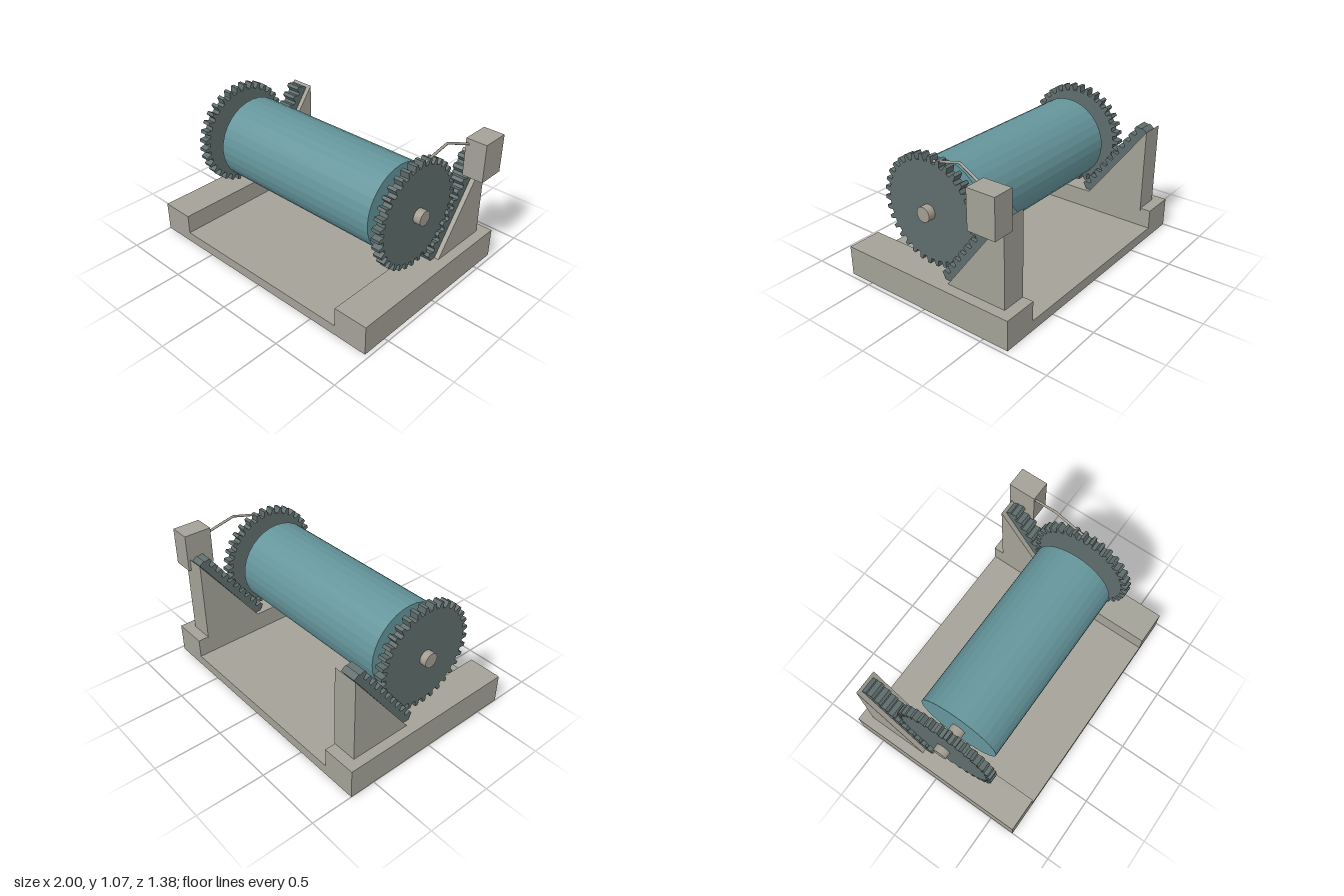
import * as THREE from 'three';

const mat = (name, color, opts = {}) => {
  const m = new THREE.MeshStandardMaterial({ color, ...opts });
  m.name = name;
  return m;
};

// Prism from a [z, y] outline, centred on x with the given width
function sidePrism(points, x, width) {
  const shape = new THREE.Shape(points.map(([z, y]) => new THREE.Vector2(z, y)));
  const geo = new THREE.ExtrudeGeometry(shape, { depth: width, bevelEnabled: false });
  return geo.translate(0, 0, -width / 2).rotateY(-Math.PI / 2).translate(x, 0, 0);
}

export function createModel() {
  const group = new THREE.Group();
  const stone = mat('stone grey', 0xa3a197);
  const teal = mat('drum teal', 0x64959b, { flatShading: true });
  const iron = mat('gear iron', 0x5f6d6c);
  const steel = mat('shaft steel', 0xa39d91);

  const add = (name, geo, material) => {
    const mesh = new THREE.Mesh(geo, material);
    mesh.name = name;
    group.add(mesh);
    return mesh;
  };

  // Base: channel section with a raised rail on each side
  const channel = new THREE.Shape([
    [-1, 0], [0.97, 0], [0.97, 0.22], [0.715, 0.22],
    [0.715, 0.075], [-0.75, 0.075], [-0.75, 0.22], [-1, 0.22],
  ].map(([x, y]) => new THREE.Vector2(x, y)));
  add('base', new THREE.ExtrudeGeometry(channel, { depth: 1.38, bevelEnabled: false })
    .translate(0, 0, -0.69), stone);

  // Drum and its axle
  const axisY = 0.652, axisZ = 0.042;
  const roller = (name, radius, x0, x1, material, sides) =>
    add(name, new THREE.CylinderGeometry(radius, radius, x1 - x0, sides)
      .rotateZ(Math.PI / 2).translate((x0 + x1) / 2, axisY, axisZ), material);
  roller('drum', 0.309, -0.705, 0.675, teal, 32);
  roller('axle', 0.053, -0.92, 0.89, steel, 32);

  // Gear outline: tapered teeth around the axle
  const teeth = 34, gearOutline = [];
  for (let i = 0; i < teeth; i++) {
    for (const [step, r] of [[-0.3, 0.346], [-0.16, 0.388], [0.16, 0.388], [0.3, 0.346]]) {
      const a = ((i + step) / teeth) * Math.PI * 2 + Math.PI / 2 + 0.06;
      gearOutline.push([axisZ + r * Math.cos(a), axisY + r * Math.sin(a)]);
    }
  }

  // Rack outline: s runs up the slope, h stands out from it
  const onSlope = (s, h) => [-0.15 - 0.593 * s + 0.806 * h, 0.22 + 0.806 * s + 0.593 * h];
  const pitch = 0.078, rackOutline = [onSlope(0.745, 0), onSlope(-0.05, 0)];
  for (let i = 0; i < 10; i++) {
    const s = 0.005 + i * pitch;
    rackOutline.push(onSlope(s - 0.028, 0.046), onSlope(s - 0.013, 0.086),
      onSlope(s + 0.013, 0.086), onSlope(s + 0.028, 0.046));
  }
  rackOutline.push(onSlope(0.745, 0.046));

  // Wedge support, rack and gear on each side
  const wedgeOutline = [[-0.61, 0.19], [-0.128, 0.19], [-0.61, 0.838]];
  for (const [side, wedgeX, gearX] of [['right', -0.837, -0.837], ['left', 0.804, 0.803]]) {
    add(side + 'Wedge', sidePrism(wedgeOutline, wedgeX, 0.182), stone);
    add(side + 'Rack', sidePrism(rackOutline, wedgeX, 0.116), iron);
    add(side + 'Gear', sidePrism(gearOutline, gearX, 0.066), iron);
  }

  // Sensor box with a bent feeler wire touching the gear
  add('sensorBox', new THREE.BoxGeometry(0.156, 0.28, 0.208).translate(0.92, 0.89, -0.525), stone);
  const bends = [[0.865, 0.985, -0.44], [0.827, 1.062, -0.23], [0.815, 1.005, 0]]
    .map((p) => new THREE.Vector3(...p));
  const wirePath = new THREE.CurvePath();
  wirePath.add(new THREE.LineCurve3(bends[0], bends[1]));
  wirePath.add(new THREE.LineCurve3(bends[1], bends[2]));
  add('feelerWire', new THREE.TubeGeometry(wirePath, 24, 0.009, 8), steel);

  return group;
}
